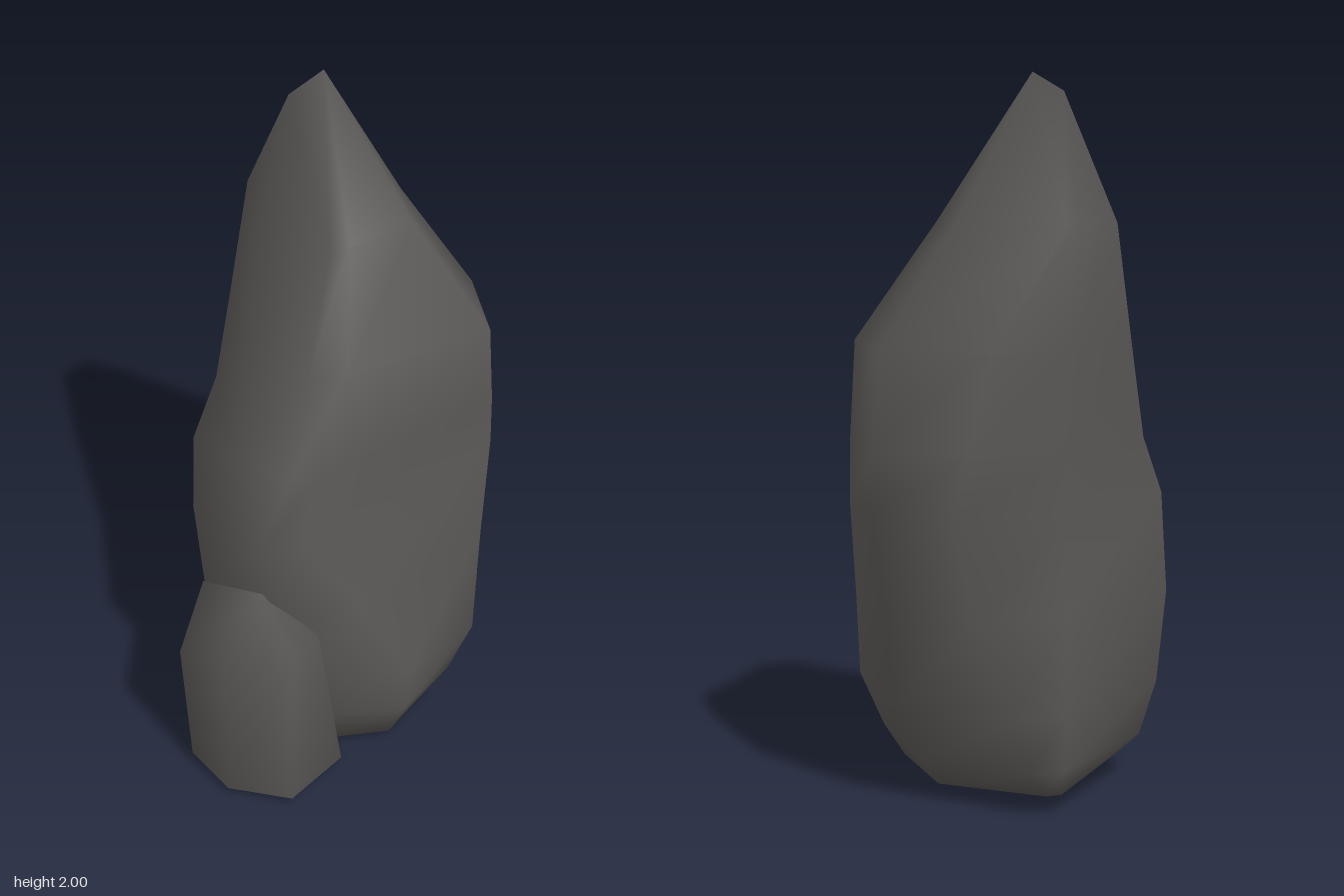
import * as THREE from 'three';
import { mergeVertices } from 'three/addons/utils/BufferGeometryUtils.js';

// Skin a stack of equal-length rings (clockwise from above), closed by a point at each end
function loft(rings, bottom, top) {
  const n = rings[0].length;
  const pos = [...rings.flat(), bottom, top].flat();
  const b = rings.length * n, t = b + 1, last = b - n;
  const index = [];
  for (let j = 0; j < n; j++) {
    const k = (j + 1) % n;
    index.push(b, j, k, t, last + k, last + j);
    for (let i = 0; i < rings.length - 1; i++) {
      const lo = i * n, hi = lo + n;
      index.push(lo + j, hi + j, lo + k, lo + k, hi + j, hi + k);
    }
  }
  const geo = new THREE.BufferGeometry();
  geo.setAttribute('position', new THREE.Float32BufferAttribute(pos, 3));
  geo.setIndex(index);
  const merged = mergeVertices(geo);
  merged.computeVertexNormals();
  return merged;
}

// Boulder cross-section: a box whose four corners are cut diagonally
// (u bounds x - z, v bounds x + z); backX and frontX shorten the back and front sides
function section([y, x0, x1, z0, z1, u0, u1, v0, v1, backX, frontX]) {
  return [
    [backX, z0], [u1 + z0, z0], [x1, x1 - u1], [x1, v1 - x1],
    [frontX, z1], [u0 + z1, z1], [x0, x0 - u0], [x0, v0 - x0],
  ].map(([x, z]) => [x, y, z]);
}

function boulderGeometry() {
  const rings = [
    [0.02, -0.29, 0.28, -0.465, 0.27, -0.32, 0.51, -0.40, 0.40, 0.00, 0.13],
    [0.12, -0.33, 0.34, -0.48, 0.28, -0.38, 0.58, -0.53, 0.47, 0.00, 0.18],
    [0.28, -0.37, 0.41, -0.51, 0.29, -0.45, 0.67, -0.60, 0.54, 0.00, 0.19],
    [0.55, -0.39, 0.45, -0.49, 0.30, -0.52, 0.75, -0.64, 0.46, 0.00, 0.04],
    [0.83, -0.38, 0.487, -0.49, 0.31, -0.56, 0.80, -0.61, 0.41, 0.00, -0.12],
    [1.00, -0.30, 0.48, -0.50, 0.24, -0.40, 0.78, -0.59, 0.42, 0.00, -0.09],
    [1.27, -0.245, 0.455, -0.51, 0.13, -0.22, 0.73, -0.58, 0.43, 0.00, 0.02],
    [1.60, -0.18, 0.24, -0.51, -0.005, 0.00, 0.52, -0.57, 0.13, -0.02, 0.05],
  ].map(section);
  // Base rises slightly towards the back
  for (const p of rings[0]) p[1] = 0.03 - 0.05 * p[2];
  // Short ridge at the summit
  const left = [-0.08, 1.95, -0.24], right = [0.02, 2, -0.27];
  rings.push(rings[0].map((p, j) => (j === 0 || j >= 5 ? left : right)));
  return loft(rings, [0, 0.02, -0.05], right);
}

// Small stone growing out of the front corner
function sideStoneGeometry() {
  const base = [
    [-0.05, 0.02, 0.15], [-0.03, 0.02, 0.36], [-0.2, 0.03, 0.51],
    [-0.38, 0.02, 0.43], [-0.47, 0.04, 0.29], [-0.32, 0.03, 0],
  ];
  const rim = [
    [-0.1, 0.5, 0.2], [-0.09, 0.48, 0.33], [-0.19, 0.56, 0.49],
    [-0.38, 0.52, 0.43], [-0.49, 0.46, 0.29], [-0.4, 0.57, 0.12],
  ];
  return loft([base, rim], [-0.2, 0, 0.33], [-0.25, 0.65, 0.29]);
}

export function createModel() {
  const stone = new THREE.MeshStandardMaterial({ color: 0x595755 });
  stone.name = 'dark grey stone';
  const group = new THREE.Group();
  group.name = 'rock';
  const parts = { boulder: boulderGeometry(), sideStone: sideStoneGeometry() };
  for (const [name, geometry] of Object.entries(parts)) {
    const mesh = new THREE.Mesh(geometry, stone);
    mesh.name = name;
    group.add(mesh);
  }
  return group;
}
